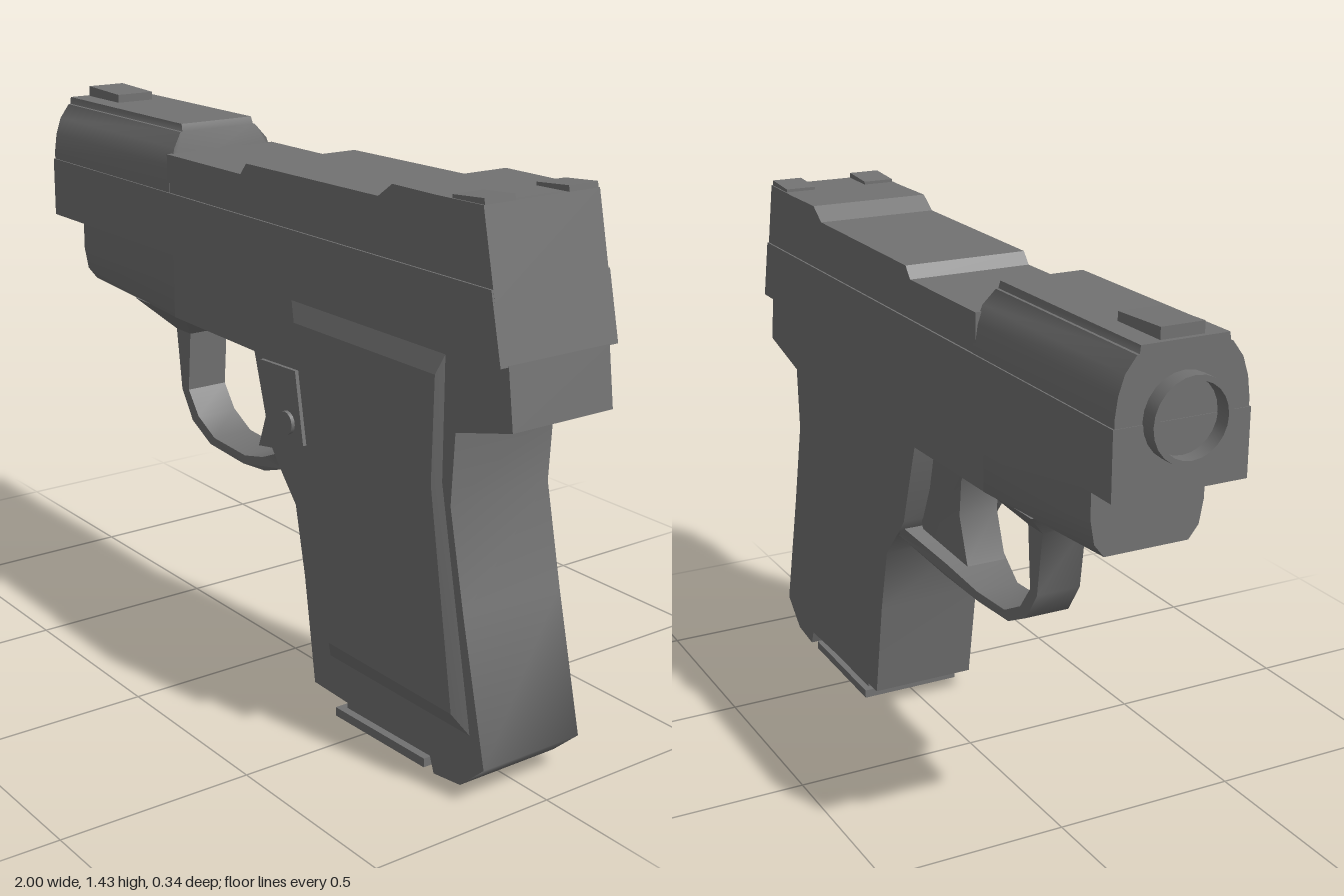
import * as THREE from 'three';
import { toCreasedNormals } from 'three/addons/utils/BufferGeometryUtils.js';

const material = new THREE.MeshStandardMaterial({ color: 0x727272, side: THREE.DoubleSide });

export function createModel() {
  const model = new THREE.Group();

  function add(name, geometry, crease = 0.7) {
    const mesh = new THREE.Mesh(toCreasedNormals(geometry, crease), material);
    mesh.name = name;
    model.add(mesh);
    return mesh;
  }
  const extrude = (points, depth) => new THREE.ExtrudeGeometry(
    new THREE.Shape(points.map(([x, y]) => new THREE.Vector2(x, y))), { depth, bevelEnabled: false });

  // Moves every vertex by a rule
  function reshape(geometry, rule) {
    const p = geometry.attributes.position, v = new THREE.Vector3();
    for (let i = 0; i < p.count; i++) {
      rule(v.fromBufferAttribute(p, i));
      p.setXYZ(i, v.x, v.y, v.z);
    }
    return geometry;
  }

  // Side profile (x, y) extruded from z0 to z1
  const plate = (name, points, z0, z1, crease) =>
    add(name, extrude(points, z1 - z0).translate(0, 0, z0), crease);

  // Side profile whose half width depends on the position
  const flaredPlate = (name, points, halfWidth) =>
    add(name, reshape(extrude(points, 2).translate(0, 0, -1), (v) => { v.z *= halfWidth(v.x, v.y); }));

  // Half cross-section (z, y), mirrored and extruded from x0 to x1
  function beam(name, half, x0, x1, rule) {
    const points = [...half, ...half.map(([z, y]) => [-z, y]).reverse()];
    return add(name, reshape(extrude(points, x1 - x0).rotateY(Math.PI / 2).translate(x0, 0, 0), rule));
  }

  // Slide: wide lower band, stepped rear top and rounded front top with a flat rib
  plate('slideBand', [[-0.96, 1.067], [0.98, 1.067], [0.943, 1.23], [-0.96, 1.23]], -0.172, 0.172);
  plate('slideRear', [
    [-0.345, 1.2], [0.95, 1.2], [0.905, 1.403], [0.75, 1.4], [0.6, 1.4], [0.55, 1.365],
    [0.025, 1.36], [0, 1.33], [-0.345, 1.33],
  ], -0.167, 0.167, 0.3);
  beam('slideFront', [
    [0.168, 1.2], [0.168, 1.25], [0.161, 1.3], [0.146, 1.345], [0.118, 1.382], [0.112, 1.383], [0.11, 1.402],
  ], -0.958, -0.335, (v) => {
    if (v.x > -0.5) v.x -= Math.max(0, v.y - 1.33) * 0.35;
  });

  // Muzzle ring
  const ring = [[0.087, 0], [0.087, 0.05], [0.1, 0.05], [0.1, 0], [0.087, 0]];
  const muzzle = add('muzzle', new THREE.LatheGeometry(ring.map(([r, y]) => new THREE.Vector2(r, y)), 24));
  muzzle.rotation.z = -Math.PI / 2;
  muzzle.position.set(-1, 1.235, 0);

  // Sights
  plate('frontSight', [[-0.945, 1.39], [-0.78, 1.39], [-0.78, 1.424], [-0.945, 1.43]], -0.055, 0.055);
  for (const side of [-1, 1]) {
    const sight = plate('rearSight', [[0.8, 1.39], [0.907, 1.39], [0.902, 1.417], [0.8, 1.409]], -0.043, 0.043);
    sight.position.z = side * 0.12;
  }

  // Frame under the barrel, its rounded lower corners fading out to the rear
  beam('dustCover', [
    [0.11, 0.892], [0.136, 0.925], [0.147, 0.985], [0.147, 1.07],
  ], -0.84, -0.35, (v) => {
    if (v.x > -0.5) {
      v.z = Math.sign(v.z) * 0.147;
      if (v.y < 0.95) v.y = 0.886;
    }
  });

  // Frame, grip and rear tang
  plate('grip', [
    [-0.35, 0.886], [0.03, 0.88], [0.1, 0.65], [0.14, 0.6], [0.21, 0.52], [0.25, 0.34], [0.295, 0.062],
    [0.755, 0.055], [0.77, 0.015], [0.865, 0.028], [0.945, 0.1], [0.86, 0.45], [0.805, 0.7],
    [0.815, 0.877], [1, 0.925], [0.98, 1.07], [-0.35, 1.07],
  ], -0.146, 0.149, 1.15);

  // Trigger guard, narrow in the middle and flaring into the frame and grip
  flaredPlate('triggerGuard', [
    [-0.57, 0.892], [-0.485, 0.81], [-0.462, 0.64], [-0.41, 0.56], [-0.32, 0.515], [-0.16, 0.505],
    [-0.02, 0.53], [0.15, 0.595], [0.11, 0.625], [-0.03, 0.565], [-0.15, 0.53], [-0.3, 0.538],
    [-0.38, 0.58], [-0.428, 0.645], [-0.415, 0.81], [-0.32, 0.89],
  ], (x, y) => (y > 0.85 || x > 0.1 ? 0.14 : x > -0.1 ? 0.085 : 0.06));

  // Trigger
  flaredPlate('trigger', [
    [-0.1, 0.89], [-0.055, 0.8], [-0.045, 0.7], [-0.09, 0.575], [0.1, 0.62], [0.12, 0.7], [0.04, 0.89],
  ], (x) => (x > 0 ? 0.09 : 0.055));

  // Raised grip panel with sloped border, on the front side only
  const outer = [[0.19, 1.05], [0.36, 0.16], [0.895, 0.165], [0.775, 0.75], [0.775, 1.05]];
  const inner = [[0.225, 1.0], [0.38, 0.21], [0.85, 0.21], [0.755, 0.74], [0.76, 1.0]];
  const n = outer.length;
  const position = [
    ...outer.map(([x, y]) => [x, y, 0.148]),
    ...inner.map(([x, y]) => [x, y, y < 0.5 ? 0.17 : 0.166]),
  ].flat();
  const index = [];
  for (let i = 0; i < n; i++) {
    const j = (i + 1) % n;
    index.push(i, j, n + j, i, n + j, n + i);
    if (i > 0 && i < n - 1) index.push(n, n + i, n + j);
  }
  const panel = new THREE.BufferGeometry();
  panel.setAttribute('position', new THREE.Float32BufferAttribute(position, 3));
  panel.setIndex(index);
  add('gripPanel', panel, 0.3);

  // Side plate and pin
  plate('sidePlate', [[0.07, 0.87], [0.12, 0.69], [0.255, 0.69], [0.22, 0.875]], 0.14, 0.159);
  const pin = add('pin', new THREE.CylinderGeometry(0.03, 0.03, 0.03, 16));
  pin.rotation.x = Math.PI / 2;
  pin.position.set(0.19, 0.735, 0.154);

  // Magazine floor
  plate('magazine', [[0.4, 0.02], [0.715, 0.025], [0.715, 0.08], [0.4, 0.08]], -0.125, 0.125);
  plate('magazineBase', [[0.38, 0.002], [0.73, 0.012], [0.73, 0.035], [0.38, 0.025]], -0.143, 0.146);

  return model;
}
